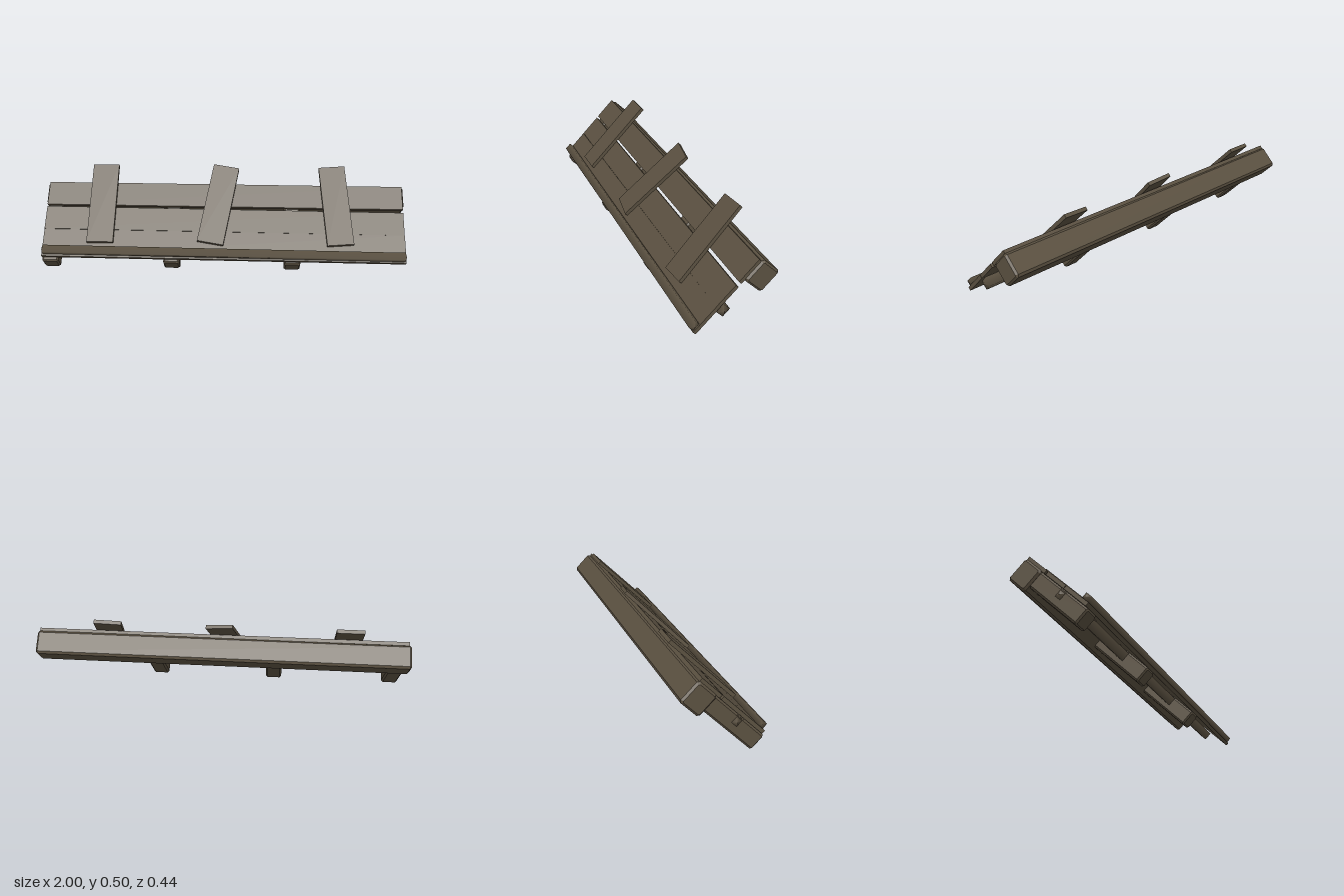
import * as THREE from 'three';

const wood = new THREE.MeshStandardMaterial({ color: 0x5b5141 });
wood.name = 'weathered wood';

// Beam along x (or z) with all its edges chamfered
function beamGeometry(length, height, depth, c, alongZ) {
  const a = depth / 2 - c, b = height / 2 - c, k = c * 0.6;
  const s = new THREE.Shape();
  s.moveTo(-a, -b + k);
  s.lineTo(-a + k, -b);
  s.lineTo(a - k, -b);
  s.lineTo(a, -b + k);
  s.lineTo(a, b - k);
  s.lineTo(a - k, b);
  s.lineTo(-a + k, b);
  s.lineTo(-a, b - k);
  s.closePath();
  const g = new THREE.ExtrudeGeometry(s, {
    depth: length - 2 * c, bevelEnabled: true, bevelThickness: c, bevelSize: c, bevelSegments: 1,
  });
  g.center();
  if (!alongZ) g.rotateY(Math.PI / 2);
  return g;
}

// Rough four-sided stick along x with pointed ends and soft shading
function stickGeometry(length, height, depth, tip) {
  const r = Math.SQRT1_2, h = length / 2;
  const pts = [[0, -h], [r, -h + tip], [r, h - tip], [0, h]].map(p => new THREE.Vector2(...p));
  const g = new THREE.LatheGeometry(pts, 4);
  g.rotateY(Math.PI / 4);
  g.rotateZ(Math.PI / 2);
  g.scale(1, height, depth);
  return g;
}

export function createModel() {
  const model = new THREE.Group();
  // Everything is laid out flat (y = out of the roof, z = down the slope), then pitched
  const roof = new THREE.Group();
  roof.name = 'roofSlope';
  roof.rotation.x = Math.PI / 4;
  model.add(roof);

  function add(name, geometry, x, y, z, turn = 0) {
    const m = new THREE.Mesh(geometry, wood);
    m.name = name;
    m.position.set(x, y, z);
    m.rotation.y = turn;
    roof.add(m);
  }

  // Heavy ridge beam
  add('ridgeBeam', beamGeometry(2, 0.128, 0.13, 0.01, false), 0, 0.124, -0.313);

  // Rafters running down the slope
  const rafter = beamGeometry(0.365, 0.09, 0.088, 0.008, true);
  for (const x of [-0.945, -0.28, 0.378]) add('rafter', rafter, x, 0.139, -0.085);

  // Batten running through the rafters
  add('batten', stickGeometry(2, 0.05, 0.05, 0.015), 0, 0.154, -0.076);

  // Long boards: [upper edge, lower edge, turn]
  for (const [z0, z1, turn] of [[-0.368, -0.23, -0.003], [-0.214, -0.079, -0.007], [-0.078, 0.082, -0.006]]) {
    add('longBoard', new THREE.BoxGeometry(1.98, 0.02, z1 - z0), 0, 0.195, (z0 + z1) / 2, turn);
  }

  // Trim stick on the lower edge
  add('eaveStick', stickGeometry(1.98, 0.032, 0.042, 0.008), 0, 0.219, 0.052, -0.008);

  // Short loose planks nailed across
  const plank = new THREE.BoxGeometry(0.145, 0.02, 0.472);
  for (const [x, turn] of [[-0.673, 0], [-0.03, -0.17], [0.62, 0.08]]) {
    add('crossPlank', plank, x, 0.218, -0.238, turn);
  }
  return model;
}
